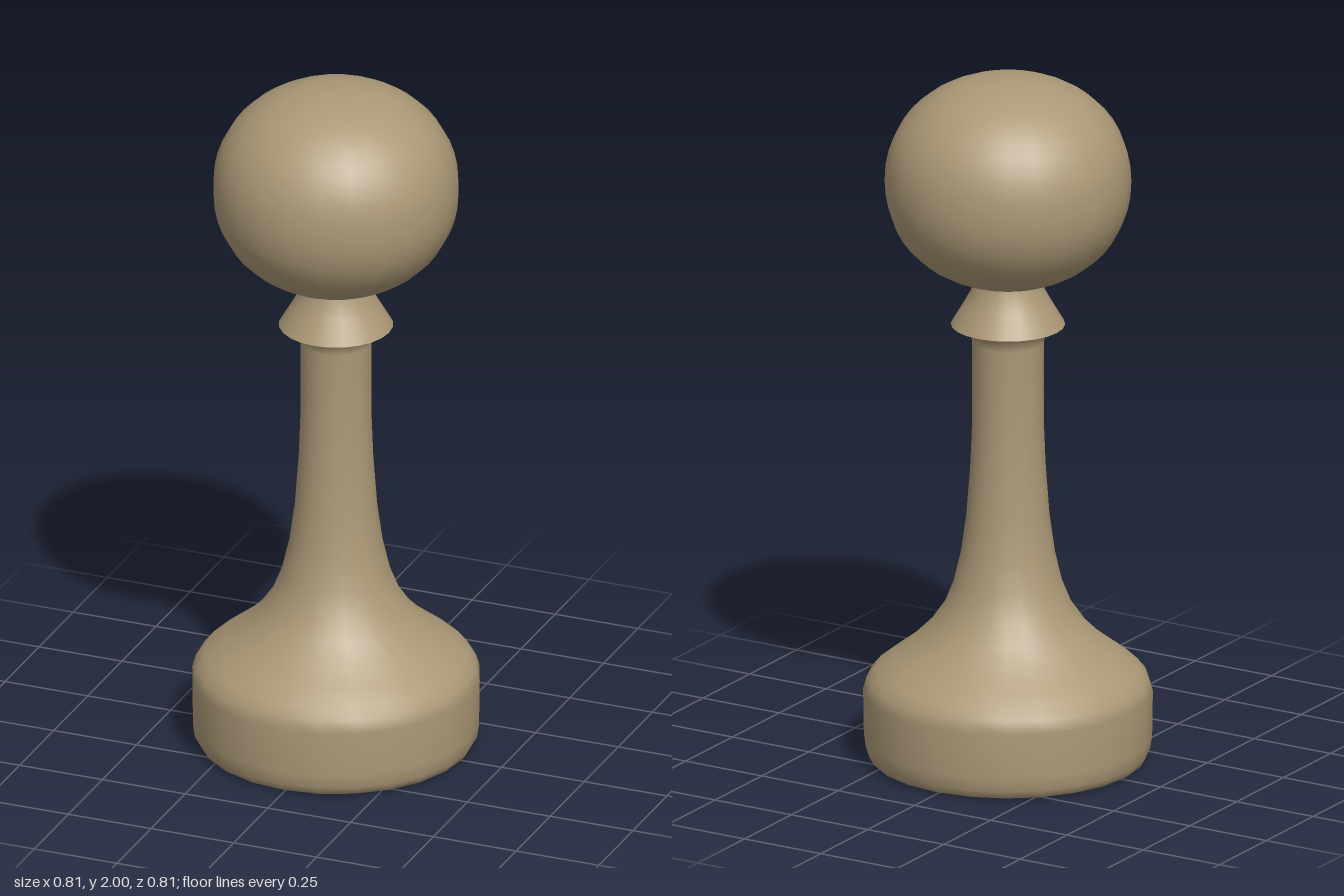
import * as THREE from 'three';

const SIDES = 24;

export function createModel() {
  const group = new THREE.Group();
  const wood = new THREE.MeshStandardMaterial({ color: 0xab9876 });
  wood.name = 'tan wood';

  // Revolves a bottom-to-top profile of [radius, height] pairs
  const turn = (name, profile) => {
    const points = profile.map(([r, y]) => new THREE.Vector2(r, y));
    const mesh = new THREE.Mesh(new THREE.LatheGeometry(points, SIDES), wood);
    mesh.name = name;
    group.add(mesh);
  };

  // Flat underside
  turn('underside', [[0, 0], [0.365, 0]]);

  // Rounded base sweeping up into the slim stem and flaring under the collar
  turn('baseAndStem', [
    [0.365, 0], [0.385, 0.007], [0.398, 0.03], [0.403, 0.07], [0.405, 0.2],
    [0.395, 0.235], [0.37, 0.265], [0.32, 0.303], [0.27, 0.342], [0.22, 0.392],
    [0.18, 0.45], [0.152, 0.52], [0.131, 0.61], [0.116, 0.72], [0.105, 0.87],
    [0.1, 1.0], [0.1, 1.225], [0.108, 1.252], [0.125, 1.27], [0.16, 1.277],
  ]);

  // Conical collar below the head
  turn('collar', [[0.16, 1.277], [0.122, 1.342], [0.104, 1.375], [0.095, 1.41]]);

  // Slightly flattened ball head, as a superellipse of revolution
  const head = [];
  const steps = 24;
  const power = 2 / 2.15;
  for (let i = 0; i <= steps; i++) {
    const a = (i / steps - 0.5) * Math.PI;
    const r = i % steps === 0 ? 0 : 0.345 * Math.cos(a) ** power;
    head.push([r, 1.698 + 0.302 * Math.sign(a) * Math.abs(Math.sin(a)) ** power]);
  }
  turn('head', head);

  return group;
}
